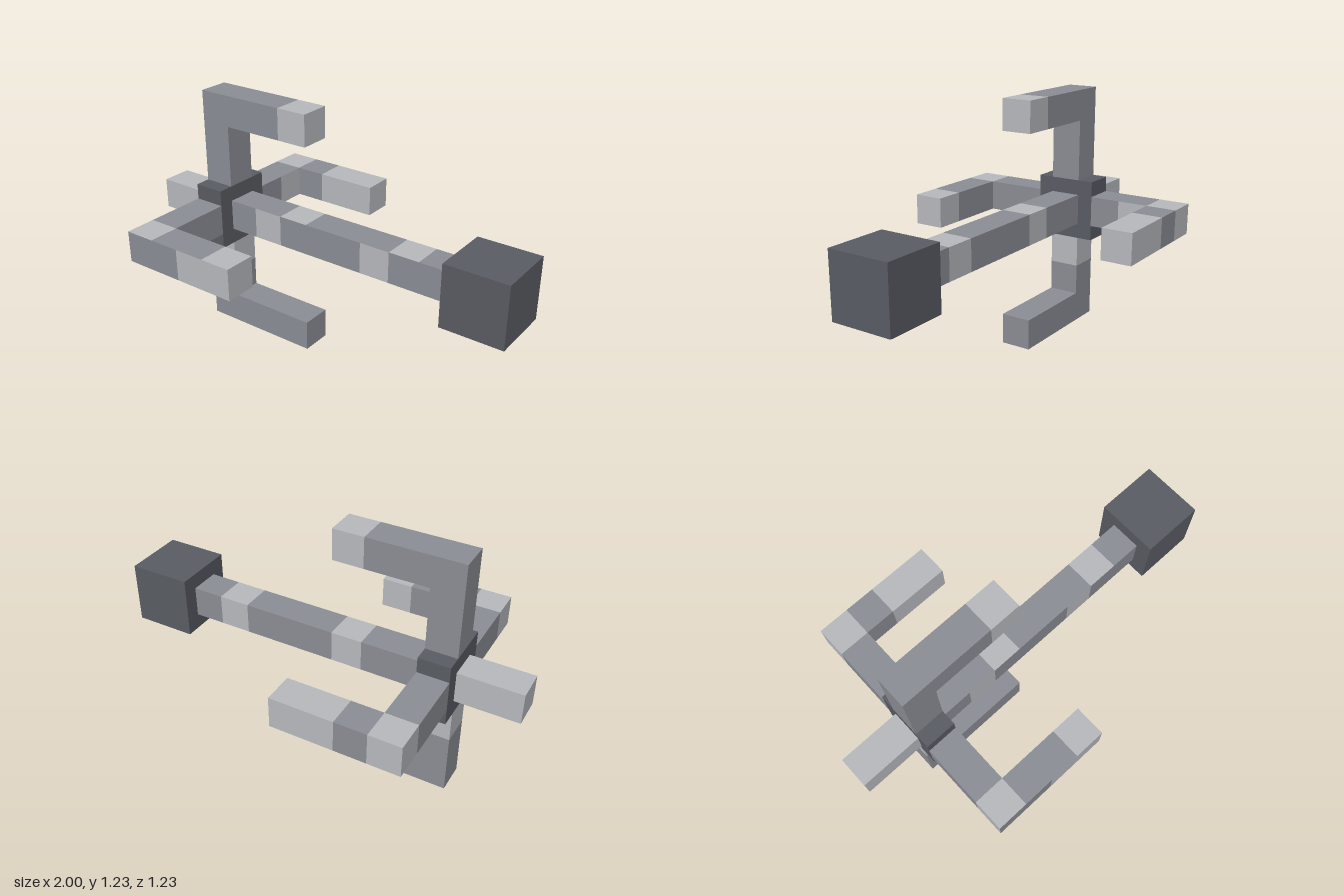
import * as THREE from 'three';

const U = 2 / 13; // grid unit: the model is 13 units long
const MID_Y = 4 * U;

function flat(name, color) {
  const m = new THREE.MeshStandardMaterial({ color });
  m.name = name;
  return m;
}

export function createModel() {
  const model = new THREE.Group();
  const palette = [
    flat('light grey', 0xb9bbbf),
    flat('mid grey', 0x8c8f96),
    flat('dark grey', 0x5a5d64),
  ];

  // Square bar along its own +x; each letter (L or M) colours one unit of its length
  function bar(name, pattern, start, sides = {}, rotY = 0, rotZ = 0) {
    const n = pattern.length;
    const geo = new THREE.BoxGeometry(n * U, U, U, n, 1, 1);
    geo.translate((n * U) / 2, 0, 0);
    const { top = pattern, bottom = pattern, front = pattern, back = pattern } = sides;
    const reversed = [...back].reverse().join('');
    const quads = pattern[n - 1] + pattern[0] + top + bottom + front + reversed;
    geo.clearGroups();
    [...quads].forEach((c, i) => geo.addGroup(i * 6, 6, 'LM'.indexOf(c)));
    const mesh = new THREE.Mesh(geo, palette);
    mesh.name = name;
    mesh.position.set(start[0] * U, MID_Y + start[1] * U, start[2] * U);
    mesh.rotation.set(0, rotY, rotZ);
    model.add(mesh);
  }

  // Dark block, sized and placed in grid units
  function block(name, width, x) {
    const mesh = new THREE.Mesh(new THREE.BoxGeometry(width * U, 2 * U, 2 * U), palette[2]);
    mesh.name = name;
    mesh.position.set(x * U, MID_Y, 0);
    model.add(mesh);
  }

  // Hub and the heavy block at the far end
  block('hub', 1, -4);
  block('endBlock', 2, 5.5);

  // Central shaft and the stub behind the hub
  bar('shaft', 'MMLMMMLM', [-3.5, 0, 0], { front: 'MLMMMLMM' });
  bar('rearStub', 'LL', [-6.5, 0, 0]);

  // Four arms leaving the hub
  const Q = Math.PI / 2;
  bar('upperArm', 'MM', [-4, 1, 0], {}, 0, Q);
  bar('lowerArm', 'LM', [-4, -1, 0], {}, 0, -Q);
  bar('frontArm', 'MM', [-4, 0, 1], {}, -Q);
  bar('backArm', 'MM', [-4, 0, -1], { front: 'ML' }, Q);

  // Prongs running forward along the shaft from the arm ends
  bar('upperProng', 'MMML', [-4.5, 3.5, 0]);
  bar('lowerProng', 'MMMM', [-4.5, -3.5, 0]);
  bar('frontProng', 'LMML', [-4.5, 0, 3.5], { front: 'MMLL' });
  bar('backProng', 'LMLL', [-4.5, 0, -3.5]);

  return model;
}
